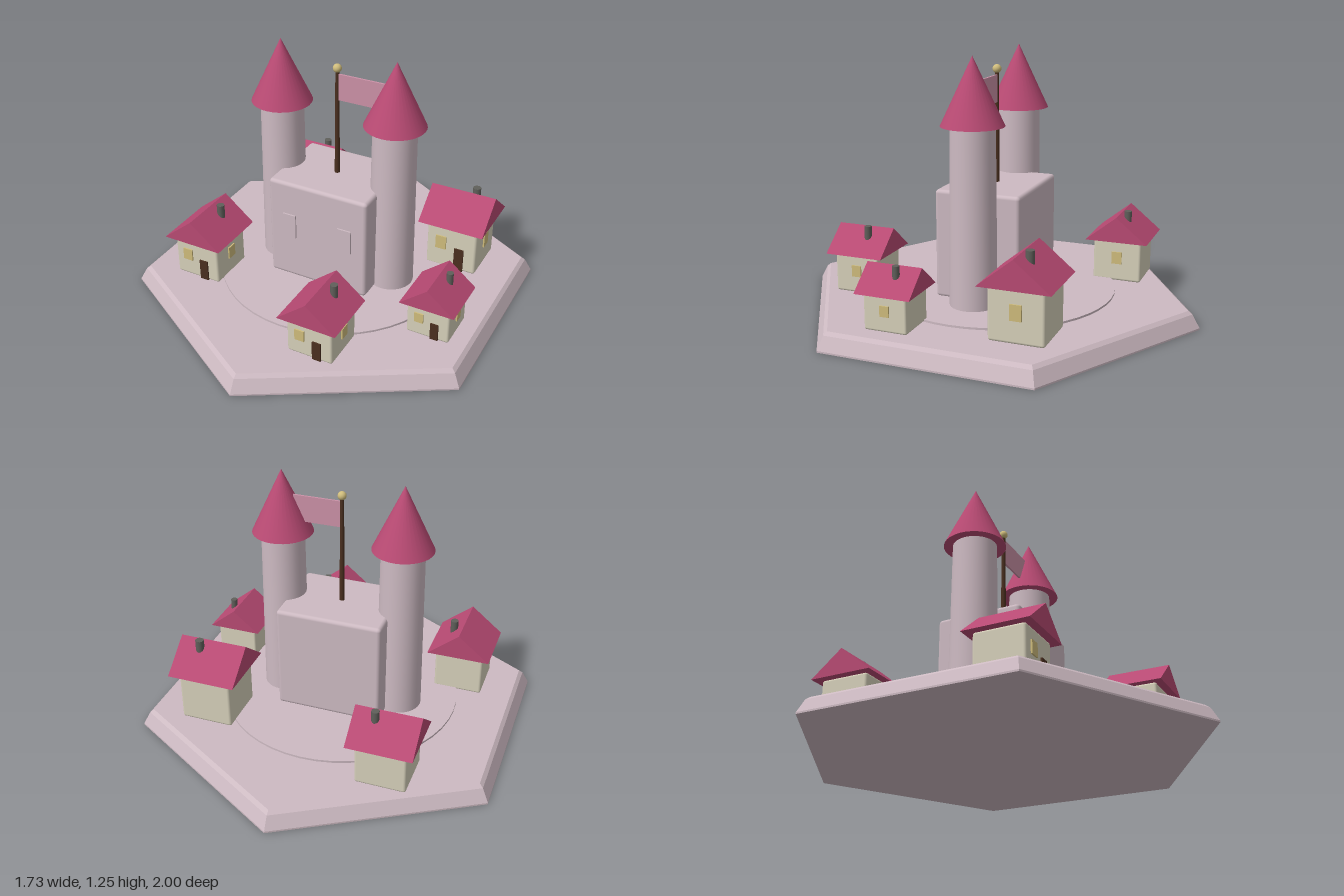
import * as THREE from 'three';
import { RoundedBoxGeometry } from 'three/addons/geometries/RoundedBoxGeometry.js';

const mat = (name, color, flatShading = false) => {
  const m = new THREE.MeshStandardMaterial({ color, flatShading });
  m.name = name;
  return m;
};

export function createModel() {
  const stone = mat('stone', 0xcdbac2);
  const stoneFlat = mat('stoneFlat', 0xcdbac2, true);
  const roofRed = mat('roofRed', 0xb84a73);
  const plaster = mat('plaster', 0xd6d0ba);
  const wood = mat('wood', 0x4a2f1f);
  const gold = mat('gold', 0xcfbc7c);
  const soot = mat('soot', 0x5f5f5a);
  const cloth = mat('cloth', 0xcb91a7);

  const model = new THREE.Group();
  model.name = 'castleVillage';

  const add = (parent, name, geometry, material, x = 0, y = 0, z = 0) => {
    const mesh = new THREE.Mesh(geometry, material);
    mesh.name = name;
    mesh.position.set(x, y, z);
    parent.add(mesh);
  };

  // Hexagonal ground slab with bevelled rim, and the round courtyard
  const rim = [[0, 0], [1, 0], [1, 0.008], [0.965, 0.07], [0.945, 0.085], [0, 0.085]]
    .map(([r, y]) => new THREE.Vector2(r, y));
  add(model, 'ground', new THREE.LatheGeometry(rim, 6), stoneFlat);
  add(model, 'courtyard', new THREE.CylinderGeometry(0.58, 0.58, 0.02, 48), stone, 0, 0.085, 0);

  // Keep with two raised window panels
  add(model, 'keep', new RoundedBoxGeometry(0.52, 0.525, 0.42, 2, 0.018), stone, 0, 0.352, 0);
  for (const side of [-1, 1]) {
    add(model, 'keepWindow', new THREE.BoxGeometry(0.07, 0.125, 0.016), stone, side * 0.148, 0.383, 0.21);
  }

  // Twin towers
  for (const side of [-1, 1]) {
    const tower = new THREE.Group();
    tower.name = side > 0 ? 'leftTower' : 'rightTower';
    tower.position.x = side * 0.297;
    add(tower, 'towerShaft', new THREE.CylinderGeometry(0.104, 0.112, 0.85, 32), stone, 0, 0.51, 0);
    add(tower, 'towerRoof', new THREE.ConeGeometry(0.147, 0.313, 32), roofRed, 0, 1.0915, 0);
    model.add(tower);
  }

  // Flagpole
  add(model, 'flagpole', new THREE.CylinderGeometry(0.009, 0.013, 0.57, 12), wood, 0, 0.87, 0);
  add(model, 'poleBall', new THREE.SphereGeometry(0.021, 16, 12), gold, 0, 1.158, 0);
  add(model, 'flag', new THREE.BoxGeometry(0.24, 0.13, 0.01), cloth, 0.12, 1.065, 0);

  // Gable prism: ridge along z, or along x when turned
  const gable = (span, rise, turned) => {
    const shape = new THREE.Shape();
    shape.moveTo(-span / 2, 0);
    shape.lineTo(span / 2, 0);
    shape.lineTo(0, rise);
    shape.closePath();
    const g = new THREE.ExtrudeGeometry(shape, { depth: span, bevelEnabled: false });
    g.translate(0, 0, -span / 2);
    return turned ? g.rotateY(Math.PI / 2) : g;
  };

  // Cottage: s sets the footprint, h the wall height
  const addHouse = (x, z, s, h, turned) => {
    const house = new THREE.Group();
    house.name = 'house';
    house.position.set(x, 0.085, z);
    const w = 0.24 * s, half = w / 2;
    const paneWidth = 0.051 * s, paneHeight = 0.29 * h, paneY = 0.57 * h;
    add(house, 'walls', new RoundedBoxGeometry(w, h, w, 2, 0.012 * s), plaster, 0, h / 2, 0);
    add(house, 'roof', gable(0.31 * s, 0.126 * s, turned), roofRed, 0, h - 0.002, 0);
    add(house, 'chimney', new THREE.CylinderGeometry(0.019 * s, 0.019 * s, 0.11 * s, 12), soot,
      0.051 * s, h + 0.082 * s, -0.034 * s);
    add(house, 'door', new THREE.BoxGeometry(0.045 * s, h / 2, 0.014), wood, 0.04 * s, h / 4 + 0.002, half);
    add(house, 'frontWindow', new THREE.BoxGeometry(paneWidth, paneHeight, 0.014), gold, -0.05 * s, paneY, half);
    add(house, 'sideWindow', new THREE.BoxGeometry(0.014, paneHeight, paneWidth), gold, half, paneY, 0);
    model.add(house);
  };
  addHouse(-0.405, -0.53, 1, 0.21, true);
  addHouse(0.528, -0.342, 1.08, 0.252, true);
  addHouse(0.637, 0.23, 0.86, 0.172, false);
  addHouse(0.23, 0.59, 0.94, 0.192, false);
  addHouse(-0.55, 0.315, 1, 0.213, false);

  return model;
}
